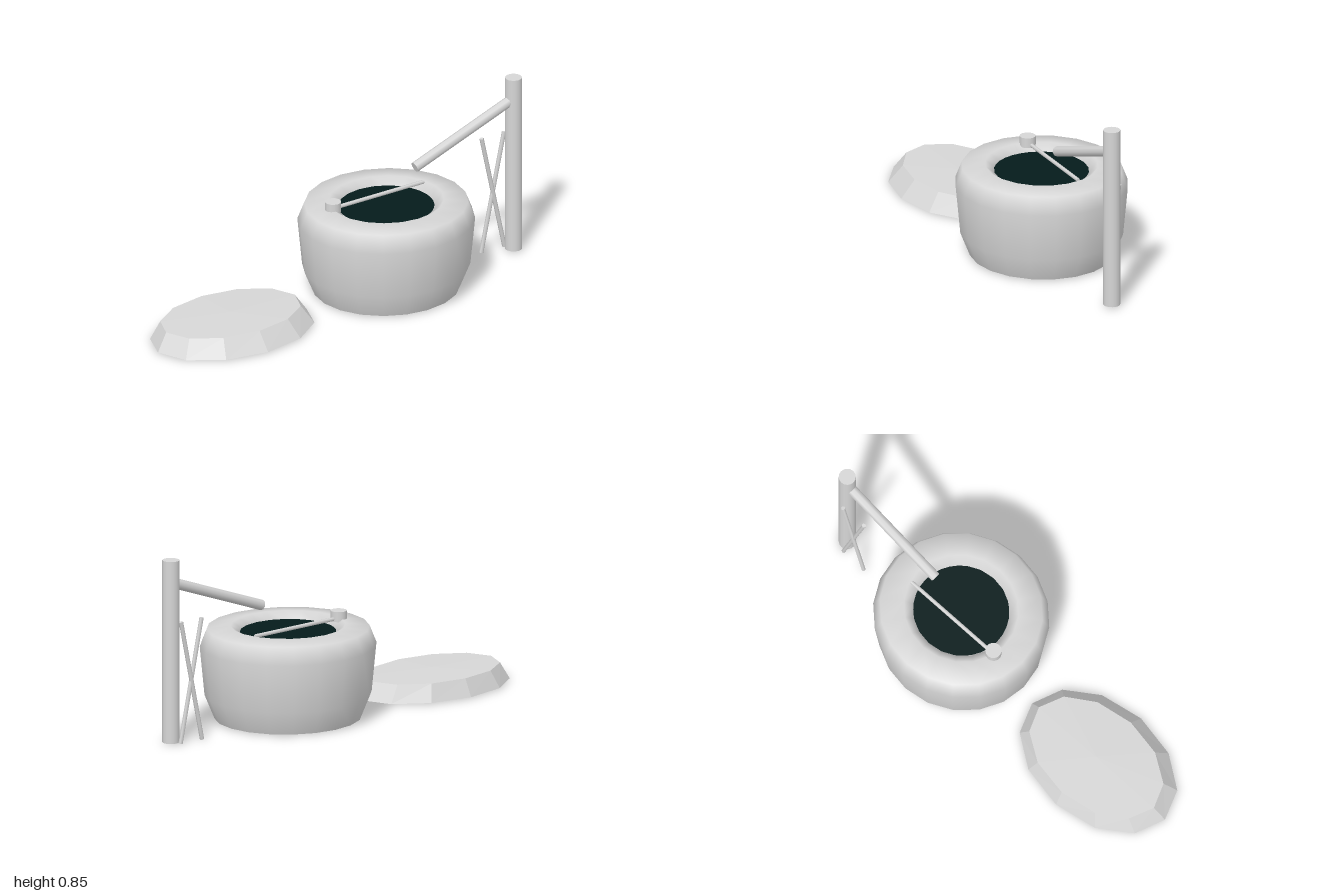
import * as THREE from 'three';

export function createModel() {
  const model = new THREE.Group();
  const stone = new THREE.MeshStandardMaterial({ color: 0xd6d6d6, side: THREE.DoubleSide });
  stone.name = 'stone grey';
  const waterMat = new THREE.MeshStandardMaterial({ color: 0x051b1b });
  waterMat.name = 'dark water';

  const add = (name, geometry, material = stone) => {
    const mesh = new THREE.Mesh(geometry, material);
    mesh.name = name;
    model.add(mesh);
    return mesh;
  };

  // Straight pole between two points
  const pole = (name, from, to, radius, sides) => {
    const a = new THREE.Vector3(...from), b = new THREE.Vector3(...to);
    const mesh = add(name, new THREE.CylinderGeometry(radius, radius, a.distanceTo(b), sides));
    mesh.position.copy(a).lerp(b, 0.5);
    mesh.quaternion.setFromUnitVectors(new THREE.Vector3(0, 1, 0), b.sub(a).normalize());
    return mesh;
  };

  // Basin: outer wall, rounded rim and hollow, open underneath
  const profile = [
    [0.34, 0.004], [0.386, 0.115], [0.408, 0.34], [0.376, 0.42],
    [0.265, 0.432], [0.224, 0.402], [0.19, 0.28], [0.001, 0.26],
  ].map(([r, y]) => new THREE.Vector2(r, y));
  const basin = add('basin', new THREE.LatheGeometry(profile, 20));
  basin.position.x = 0.259;
  basin.scale.z = 0.955;

  // Water surface
  const water = add('water', new THREE.CircleGeometry(0.22, 32).rotateX(-Math.PI / 2), waterMat);
  water.position.set(0.259, 0.402, 0);
  water.scale.z = 0.975;

  // Stepping stone: faceted oval shell, open underneath, with a slightly domed, off-centre top
  const height = 0.08;
  const slab = new THREE.CylinderGeometry(0.355, 0.41, height, 12, 1, true).toNonIndexed();
  const lid = new THREE.CircleGeometry(0.355, 12).rotateX(-Math.PI / 2).translate(0, height / 2, 0).toNonIndexed();
  const slabGroup = new THREE.Group();
  slabGroup.name = 'steppingStone';
  slabGroup.position.set(-0.59, 0.004 + height / 2, 0);
  [['stoneSides', slab], ['stoneTop', lid]].forEach(([name, geometry]) => {
    const p = geometry.attributes.position;
    for (let i = 0; i < p.count; i++) {
      const top = p.getY(i) > 0;
      if (Math.hypot(p.getX(i), p.getZ(i)) < 0.01) p.setY(i, p.getY(i) + 0.009);
      p.setZ(i, p.getZ(i) * (top ? 0.645 : 0.688) - (top ? 0.016 : 0.002));
    }
    geometry.computeVertexNormals();
    slabGroup.add(add(name, geometry));
  });
  model.add(slabGroup);

  // Upright post and sloping spout
  pole('post', [0.962, 0.004, 0], [0.962, 0.853, 0], 0.039, 16);
  pole('spout', [0.95, 0.745, 0], [0.417, 0.55, 0], 0.024, 8);

  // Pair of crossed sticks behind the post
  for (const s of [-1, 1]) {
    const z = -0.0465 - s * 0.0015;
    pole('crossedStick', [0.88 - s * 0.063, 0.002, z], [0.88 + s * 0.063, 0.57, z], 0.01, 6);
  }

  // Ladle resting across the rim
  pole('ladleCup', [0.006, 0.42, -0.058], [0.006, 0.467, -0.058], 0.037, 14);
  pole('ladleHandle', [0.02, 0.432, -0.06], [0.508, 0.432, -0.06], 0.009, 6);

  return model;
}
